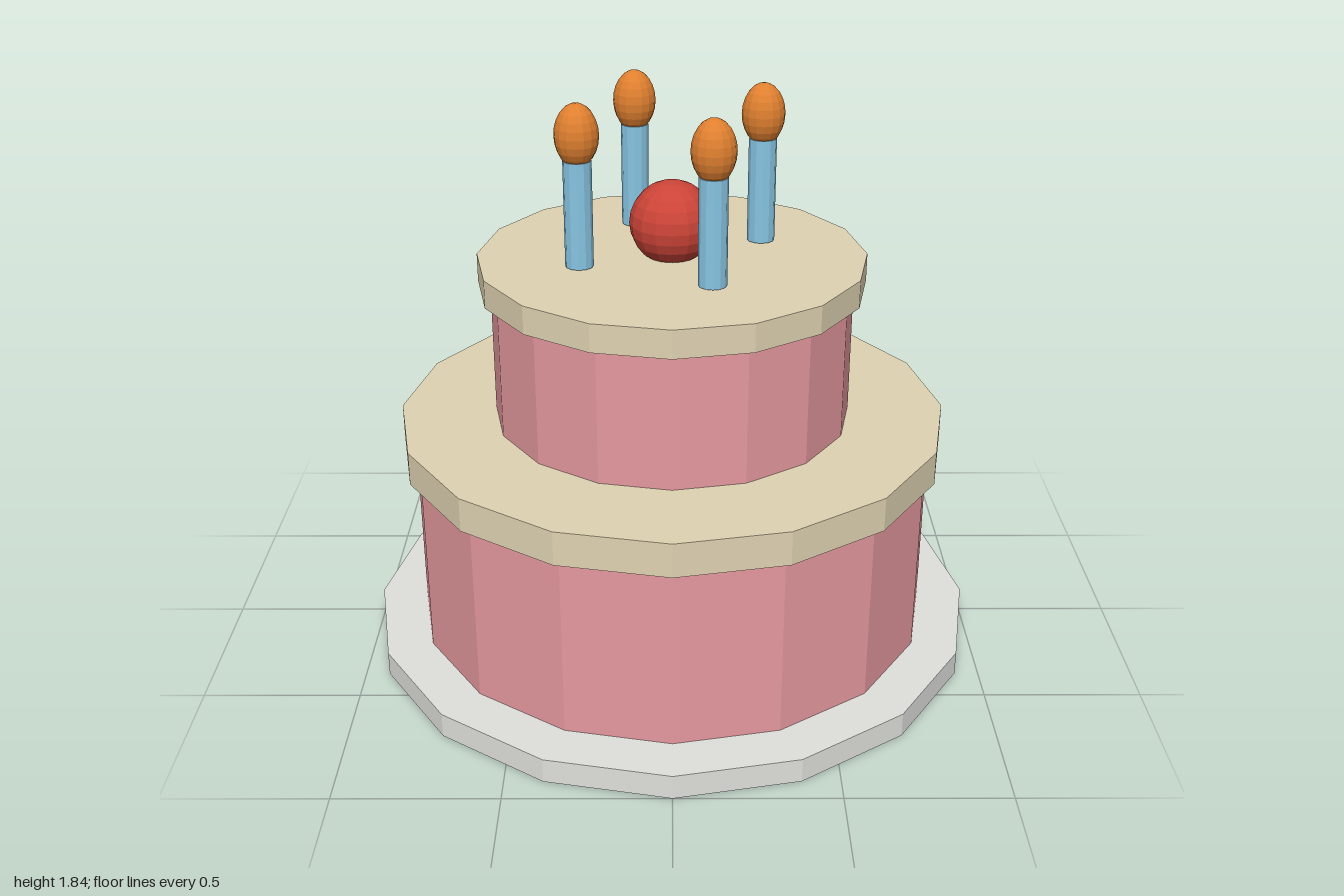
import * as THREE from 'three';

const material = (name, color) => {
  const m = new THREE.MeshStandardMaterial({ color, flatShading: true });
  m.name = name;
  return m;
};

export function createModel() {
  const cake = new THREE.Group();
  cake.name = 'cake';
  const plateGrey = material('plateGrey', 0xe0e0dc);
  const spongePink = material('spongePink', 0xe6999f);
  const frostingCream = material('frostingCream', 0xe0d3b2);
  const candleBlue = material('candleBlue', 0x87c5e3);
  const flameOrange = material('flameOrange', 0xe08030);
  const cherryRed = material('cherryRed', 0xcc4438);

  const add = (parent, name, geometry, mat, x, y, z) => {
    const mesh = new THREE.Mesh(geometry, mat);
    mesh.name = name;
    mesh.position.set(x, y, z);
    parent.add(mesh);
  };

  // Stacked sixteen-sided tiers: name, radius, bottom, top, material
  const tiers = [
    ['plate', 1, 0, 0.08, plateGrey],
    ['lowerSponge', 0.85, 0.08, 0.68, spongePink],
    ['lowerFrosting', 0.885, 0.68, 0.79, frostingCream],
    ['upperSponge', 0.577, 0.79, 1.23, spongePink],
    ['upperFrosting', 0.615, 1.23, 1.32, frostingCream],
  ];
  for (const [name, r, y0, y1, mat] of tiers) {
    add(cake, name, new THREE.CylinderGeometry(r, r, y1 - y0, 16), mat, 0, (y0 + y1) / 2, 0);
  }

  // Cherry pressed into the top frosting
  add(cake, 'cherry', new THREE.SphereGeometry(0.134, 16, 12), cherryRed, 0, 1.425, 0);

  // Four candles in a ring, each with an egg-shaped flame
  const stick = new THREE.CylinderGeometry(0.044, 0.044, 0.335, 12);
  const flame = new THREE.SphereGeometry(0.068, 16, 12).scale(1, 1.44, 1);
  for (let i = 0; i < 4; i++) {
    const a = 0.4 + (i * Math.PI) / 2;
    const candle = new THREE.Group();
    candle.name = 'candle' + (i + 1);
    candle.position.set(Math.sin(a) * 0.309, 0, Math.cos(a) * 0.309);
    add(candle, 'stick', stick, candleBlue, 0, 1.4935, 0);
    add(candle, 'flame', flame, flameOrange, 0, 1.738, 0);
    cake.add(candle);
  }
  return cake;
}
